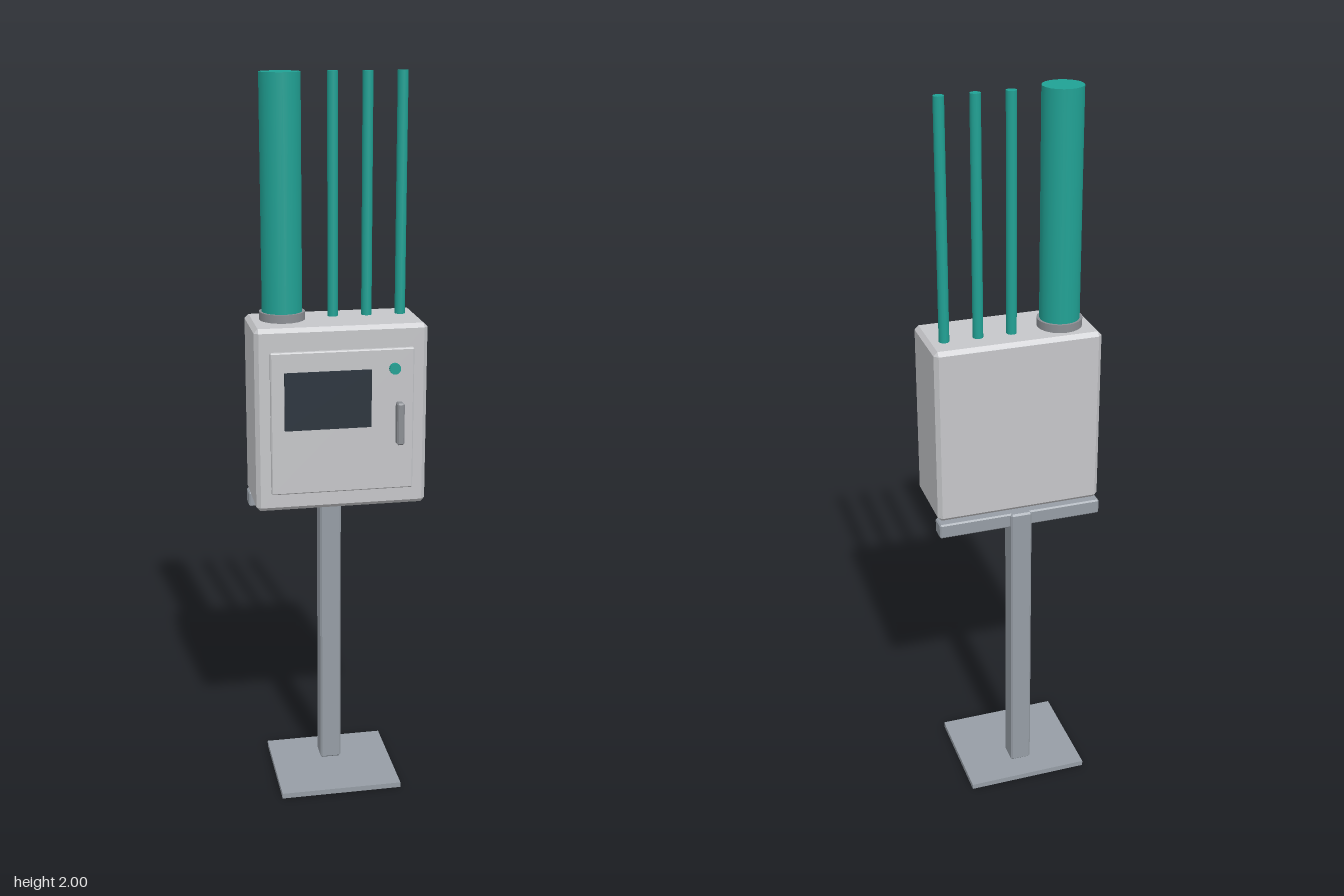
import * as THREE from 'three';
import { ConvexGeometry } from 'three/addons/geometries/ConvexGeometry.js';

const mat = (name, color) => {
  const m = new THREE.MeshStandardMaterial({ color });
  m.name = name;
  return m;
};

// Box given by its min and max corners, with every edge chamfered by c
function chamferBox([x0, y0, z0], [x1, y1, z1], c) {
  const h = [(x1 - x0) / 2, (y1 - y0) / 2, (z1 - z0) / 2];
  const points = [];
  for (const sx of [-1, 1]) for (const sy of [-1, 1]) for (const sz of [-1, 1]) {
    for (let full = 0; full < 3; full++) {
      const p = h.map((v, i) => (i === full ? v : v - c));
      points.push(new THREE.Vector3(p[0] * sx, p[1] * sy, p[2] * sz));
    }
  }
  return new ConvexGeometry(points).translate((x0 + x1) / 2, (y0 + y1) / 2, (z0 + z1) / 2);
}

function plainBox([x0, y0, z0], [x1, y1, z1]) {
  return new THREE.BoxGeometry(x1 - x0, y1 - y0, z1 - z0)
    .translate((x0 + x1) / 2, (y0 + y1) / 2, (z0 + z1) / 2);
}

// Upright cylinder between two heights
function upright(r, x, z, y0, y1, sides) {
  return new THREE.CylinderGeometry(r, r, y1 - y0, sides).translate(x, (y0 + y1) / 2, z);
}

export function createModel() {
  const group = new THREE.Group();
  group.name = 'controlCabinet';

  const casing = mat('casingGrey', 0xc5c6c9);
  const steel = mat('steelGrey', 0x969da5);
  const fitting = mat('fittingGrey', 0x8b8e93);
  const glass = mat('screenDark', 0x2b343d);
  const teal = mat('conduitTeal', 0x20a194);

  const add = (name, geometry, material) => {
    const mesh = new THREE.Mesh(geometry, material);
    mesh.name = name;
    group.add(mesh);
  };

  // Stand
  add('basePlate', plainBox([-0.172, 0, -0.167], [0.172, 0.015, 0.14]), steel);
  add('post', chamferBox([-0.03, 0.015, -0.098], [0.03, 0.865, -0.038], 0.005), steel);
  add('crossbar', chamferBox([-0.23, 0.823, -0.09], [0.23, 0.865, -0.042], 0.004), steel);

  // Cabinet with its door
  add('cabinet', chamferBox([-0.23, 0.868, -0.08], [0.23, 1.365, 0.13], 0.011), casing);
  add('door', chamferBox([-0.191, 0.918, 0.125], [0.191, 1.304, 0.142], 0.003), casing);
  add('screen', plainBox([-0.155, 1.095, 0.14], [0.076, 1.251, 0.147]), glass);
  add('handle', chamferBox([0.142, 1.045, 0.138], [0.162, 1.16, 0.166], 0.004), fitting);
  add('button', new THREE.CylinderGeometry(0.015, 0.015, 0.014, 16)
    .rotateX(Math.PI / 2).translate(0.138, 1.251, 0.145), teal);

  // Large conduit and its collar
  add('conduitCollar', upright(0.061, -0.139, 0.008, 1.36, 1.387, 20), fitting);
  add('largeConduit', upright(0.054, -0.139, 0.008, 1.36, 2, 20), teal);

  // Thin conduits
  for (let i = 0; i < 3; i++) {
    add('thinConduit' + (i + 1), upright(0.014, i * 0.092, -0.007, 1.36, 2, 14), teal);
  }
  return group;
}
